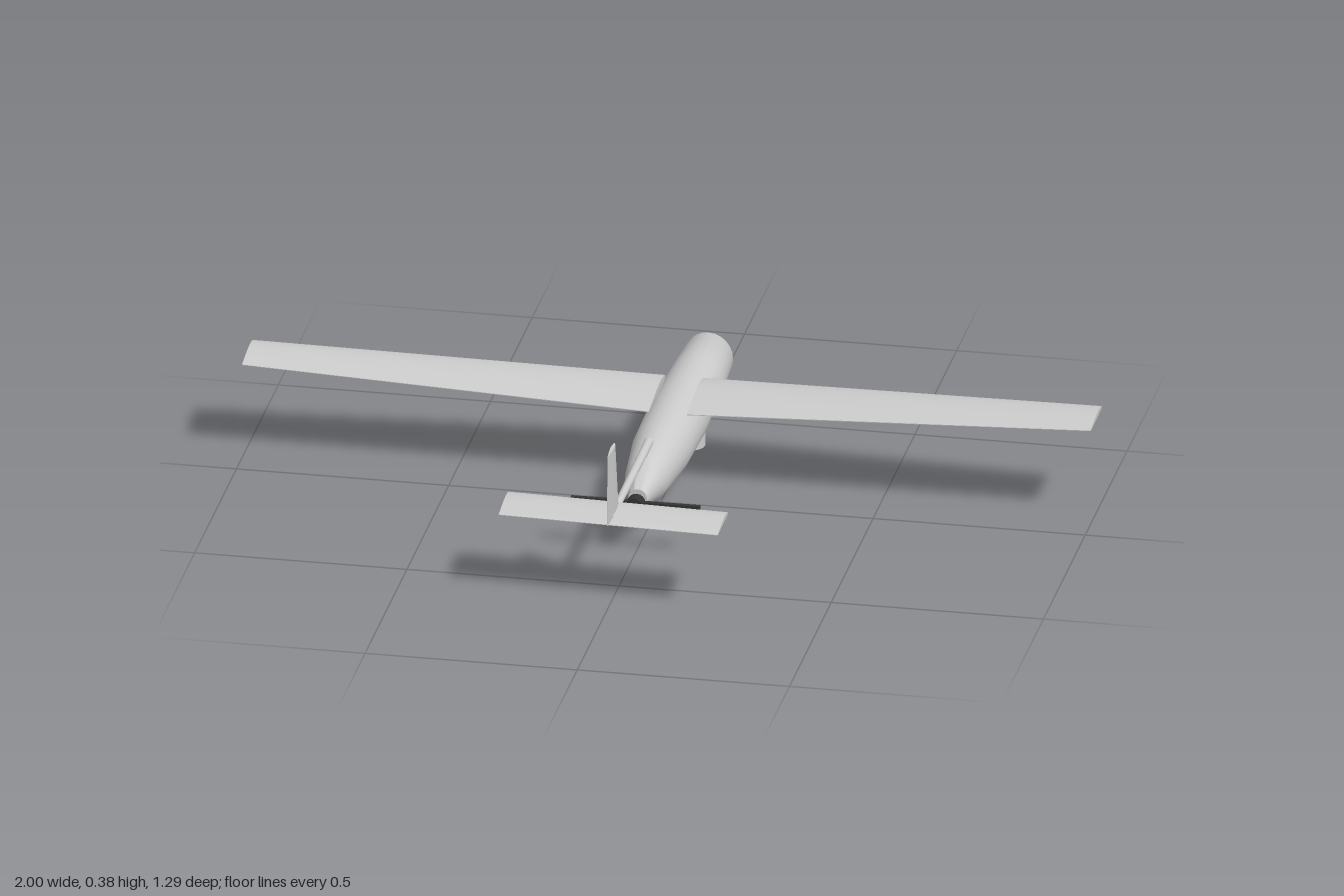
import * as THREE from 'three';
import { toCreasedNormals } from 'three/addons/utils/BufferGeometryUtils.js';

const grey = new THREE.MeshStandardMaterial({ color: 0xcccccc });
const dark = new THREE.MeshStandardMaterial({ color: 0x333333 });

// Closed skin through rings of [x, y, z] points, capped at both ends.
// Rings run counter-clockwise about the direction of travel.
function loft(rings) {
  const n = rings[0].length, last = (rings.length - 1) * n, index = [];
  for (let i = 0; i < rings.length - 1; i++) {
    for (let j = 0; j < n; j++) {
      const a = i * n + j, b = i * n + (j + 1) % n;
      index.push(a, b, a + n, b, b + n, a + n);
    }
  }
  for (let j = 1; j < n - 1; j++) {
    index.push(0, j + 1, j, last, last + j, last + j + 1);
  }
  const geo = new THREE.BufferGeometry();
  geo.setAttribute('position', new THREE.Float32BufferAttribute(rings.flat(2), 3));
  geo.setIndex(index);
  return toCreasedNormals(geo, 0.65);
}

// Aerofoil outlines as [chord, thickness], leading edge first
const cambered = [[0, 0.35], [0.04, 0.6], [0.12, 0.85], [0.3, 1], [0.5, 0.88], [0.75, 0.5],
  [1, 0.1], [1, 0], [0.5, 0], [0.08, 0.05]];
const symmetric = [[0, 0], [0.06, 0.28], [0.3, 0.5], [0.65, 0.32], [1, 0.05],
  [1, -0.05], [0.65, -0.32], [0.3, -0.5], [0.06, -0.28]];

// Section of a horizontal surface at station x, and of the fin at height y
const wingRing = (x, y, z0, z1, t) => cambered.map(([c, h]) => [x, y + h * t, z0 + c * (z1 - z0)]);
const finRing = (y, z0, z1, t) => symmetric.map(([c, h]) => [-h * t, y, z0 + c * (z1 - z0)]);

export function createModel() {
  const model = new THREE.Group();
  const add = (name, geo, x = 0, y = 0, z = 0, material = grey, parent = model) => {
    const mesh = new THREE.Mesh(geo, material);
    mesh.name = name;
    mesh.position.set(x, y, z);
    parent.add(mesh);
    return mesh;
  };

  // Fuselage: [z, centre height, half width, half height], nose at -z
  const stations = [
    [-0.645, 0.112, 0.025, 0.023], [-0.57, 0.124, 0.058, 0.062], [-0.42, 0.125, 0.066, 0.067],
    [-0.2, 0.127, 0.072, 0.073], [0, 0.129, 0.068, 0.07], [0.175, 0.129, 0.05, 0.057],
    [0.275, 0.124, 0.022, 0.024],
  ];
  add('fuselage', loft(stations.map(([z, y, rx, ry]) =>
    Array.from({ length: 24 }, (_, j) => {
      const a = j / 24 * Math.PI * 2;
      return [rx * Math.cos(a), y + ry * Math.sin(a), z];
    }))));

  // Wings, tapered and raised toward the tips
  const root = [0.187, -0.287, -0.083, 0.019], tip = [0.234, -0.202, -0.065, 0.013];
  add('leftWing', loft([wingRing(0.045, ...root), wingRing(1, ...tip)]));
  add('rightWing', loft([wingRing(-1, ...tip), wingRing(-0.045, ...root)]));

  // Tail boom, tailplane set slightly askew, and fin
  const boom = new THREE.CylinderGeometry(0.008, 0.011, 0.455, 16).rotateX(Math.PI / 2);
  add('tailBoom', boom, 0, 0.212, 0.372);
  add('tailplane', loft([wingRing(-0.26, 0.208, 0.495, 0.621, 0.013),
    wingRing(0.26, 0.208, 0.515, 0.641, 0.013)]));
  add('fin', loft([finRing(0.21, 0.519, 0.641, 0.014), finRing(0.382, 0.552, 0.636, 0.009)]));

  // Pusher propeller
  const propeller = new THREE.Group();
  propeller.name = 'propeller';
  propeller.position.set(0, 0.122, 0.304);
  model.add(propeller);
  const hub = new THREE.CylinderGeometry(0.021, 0.021, 0.03, 16).rotateX(Math.PI / 2);
  add('propellerHub', hub, 0, 0, 0, dark, propeller);
  add('propellerBlades', new THREE.BoxGeometry(0.304, 0.018, 0.011), 0, 0, 0, dark, propeller);

  // Camera turret under the nose, lens looking forward
  add('cameraTurret', new THREE.CylinderGeometry(0.037, 0.037, 0.08, 24), 0, 0.04, -0.343);
  const lens = new THREE.CylinderGeometry(0.012, 0.012, 0.02, 16).rotateX(Math.PI / 2);
  add('cameraLens', lens, 0, 0.03, -0.378, dark);

  return model;
}
